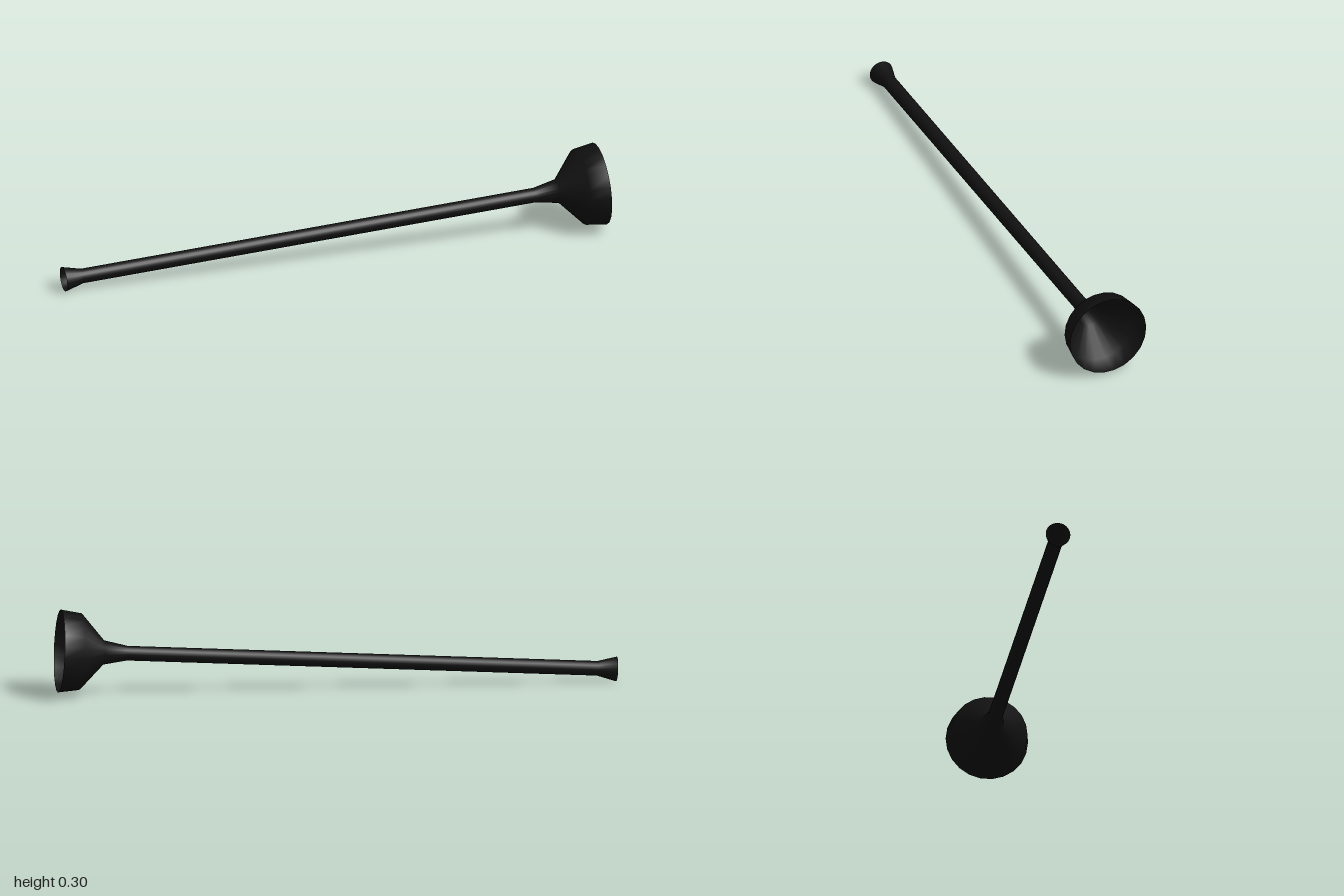
import * as THREE from 'three';

const SIDES = 22;
const TILT = 0.0575;

// Thin open surface of revolution; profile points are [distance along axis, radius]
function tube(name, profile, material) {
  const points = profile.map(([s, r]) => new THREE.Vector2(r, s));
  const geometry = new THREE.LatheGeometry(points, SIDES);
  geometry.rotateZ(-Math.PI / 2);
  const mesh = new THREE.Mesh(geometry, material);
  mesh.name = name;
  return mesh;
}

export function createModel() {
  const material = new THREE.MeshStandardMaterial({ color: 0x111111, side: THREE.DoubleSide });

  const horn = new THREE.Group();
  horn.name = 'horn';

  // One continuous skin: flared mouthpiece, long straight pipe, stepped bell
  horn.add(tube('hornBody', [
    [-0.999, 0.044],
    [-0.93, 0.026],
    [0.75, 0.026],
    [0.835, 0.043],
    [0.918, 0.136],
    [0.993, 0.147],
  ], material));

  // Resting on the mouthpiece with the bell end slightly raised
  horn.rotation.z = TILT;
  horn.position.y = 0.102;

  const model = new THREE.Group();
  model.name = 'model';
  model.add(horn);
  return model;
}
